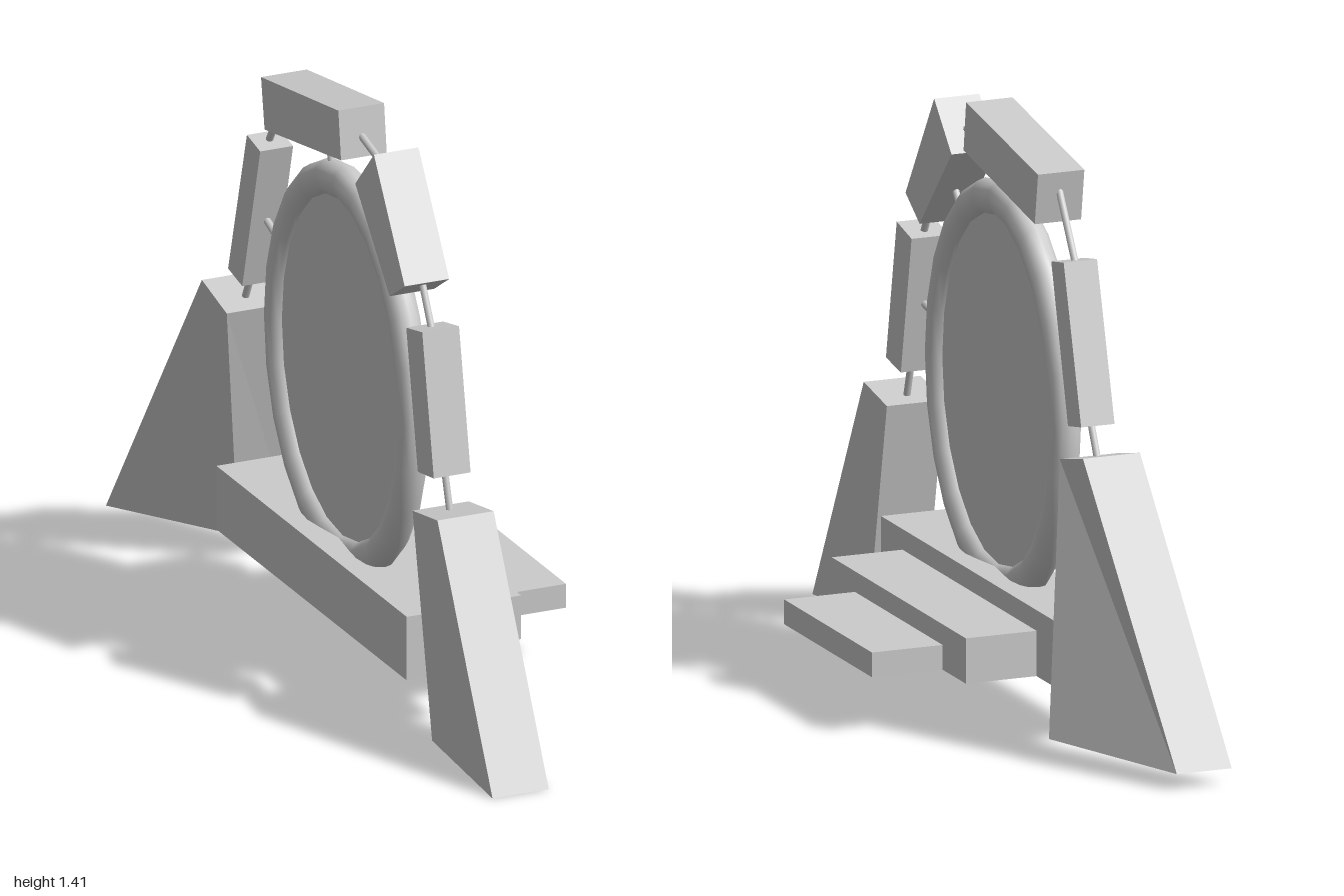
import * as THREE from 'three';

const CX = -0.147; // plane of the arch

export function createModel() {
  const model = new THREE.Group();
  model.name = 'portalArch';
  const stone = new THREE.MeshStandardMaterial({ color: 0xcccccc });
  stone.name = 'pale stone';

  const add = (name, geometry) => {
    const mesh = new THREE.Mesh(geometry, stone);
    mesh.name = name;
    model.add(mesh);
    return mesh;
  };

  // Six-sided block from two matching quads, each listed as [x, y, z]:
  // right (low x) and left (high x), in the order outer top, inner top, inner bottom, outer bottom
  const hexahedron = (name, low, high) => {
    const p = [...low, ...high];
    const quads = [[0, 1, 2, 3], [7, 6, 5, 4], [0, 4, 5, 1], [1, 5, 6, 2], [2, 6, 7, 3], [3, 7, 4, 0]];
    const pos = [];
    for (const [a, b, c, d] of quads) for (const i of [a, c, b, a, d, c]) pos.push(...p[i]);
    const g = new THREE.BufferGeometry();
    // keep every face pointing outward whichever way the outline runs
    const area = low.reduce((s, q, i) => {
      const n = low[(i + 1) % 4];
      return s + q[2] * n[1] - n[2] * q[1];
    }, 0);
    if (area > 0) {
      for (let i = 0; i < pos.length; i += 9) {
        for (let k = 0; k < 3; k++) [pos[i + 3 + k], pos[i + 6 + k]] = [pos[i + 6 + k], pos[i + 3 + k]];
      }
    }
    g.setAttribute('position', new THREE.Float32BufferAttribute(pos, 3));
    g.computeVertexNormals();
    return add(name, g);
  };

  // Block with a constant width, from a [z, y] outline
  const slab = (name, x0, x1, outline) =>
    hexahedron(name, outline.map(([z, y]) => [x0, y, z]), outline.map(([z, y]) => [x1, y, z]));

  // Arch blocks
  slab('frontLeg', -0.22, -0.075, [[0.69, 0.59], [0.55, 0.565], [0.66, 0.025], [1, 0]]);
  slab('frontLowerBlock', -0.195, -0.1, [[0.55, 1.01], [0.46, 0.99], [0.525, 0.65], [0.615, 0.665]]);
  slab('frontUpperBlock', -0.205, -0.09, [[0.3, 1.37], [0.195, 1.26], [0.388, 1.045], [0.473, 1.1]]);
  slab('crownBlock', -0.205, -0.087, [[0.1, 1.41], [-0.335, 1.34], [-0.315, 1.215], [0.115, 1.29]]);
  slab('backBlock', -0.19, -0.105, [[-0.447, 1.152], [-0.553, 0.778], [-0.473, 0.762], [-0.372, 1.137]]);

  // Back leg, splayed and twisted at the foot
  hexahedron('backLeg',
    [[-0.22, 0.725, -0.635], [-0.22, 0.69, -0.495], [-0.12, 0.06, -0.65], [-0.3, 0.04, -1]],
    [[-0.075, 0.725, -0.635], [-0.075, 0.69, -0.495], [0.02, 0.06, -0.655], [-0.16, 0.04, -1]]);

  // Rods linking the blocks and holding the ring, as [z, y] ends
  const rods = [
    [[0.61, 0.54], [0.56, 0.7]], [[0.51, 0.97], [0.44, 1.1]], [[0.26, 1.3], [0.08, 1.345]],
    [[-0.31, 1.31], [-0.43, 1.12]], [[-0.505, 0.79], [-0.56, 0.68]],
    [[0.52, 0.825], [0.41, 0.805]], [[0.33, 1.17], [0.26, 1.085]],
    [[-0.085, 1.28], [-0.06, 1.2]], [[-0.45, 0.945], [-0.34, 0.905]],
  ];
  const rodGroup = new THREE.Group();
  rodGroup.name = 'rods';
  model.add(rodGroup);
  const up = new THREE.Vector3(0, 1, 0);
  for (const [a, b] of rods) {
    const start = new THREE.Vector3(CX, a[1], a[0]);
    const dir = new THREE.Vector3(CX, b[1], b[0]).sub(start);
    const rod = add('rod', new THREE.CylinderGeometry(0.009, 0.009, dir.length(), 8));
    rod.position.copy(start).addScaledVector(dir, 0.5);
    rod.quaternion.setFromUnitVectors(up, dir.normalize());
    rodGroup.add(rod);
  }

  // Oval ring and the panel filling it
  const ring = add('ring', new THREE.TorusGeometry(0.375, 0.035, 12, 24).rotateY(Math.PI / 2));
  ring.scale.set(1.1, 1.235, 1);
  ring.position.set(CX, 0.727, 0.02);
  const panel = add('panel', new THREE.CylinderGeometry(0.35, 0.35, 0.02, 24).rotateZ(Math.PI / 2));
  panel.scale.set(1, 1.235, 1);
  panel.position.copy(ring.position);

  // Steps: x range, top, z range
  const steps = [
    ['plinth', -0.235, -0.06, 0.3, -0.52, 0.55],
    ['middleStep', -0.06, 0.12, 0.25, -0.39, 0.42],
    ['lowerStep', 0.12, 0.3, 0.2, -0.25, 0.28],
  ];
  for (const [name, x0, x1, top, z0, z1] of steps) {
    const step = add(name, new THREE.BoxGeometry(x1 - x0, top - 0.14, z1 - z0));
    step.position.set((x0 + x1) / 2, (top + 0.14) / 2, (z0 + z1) / 2);
  }
  return model;
}
